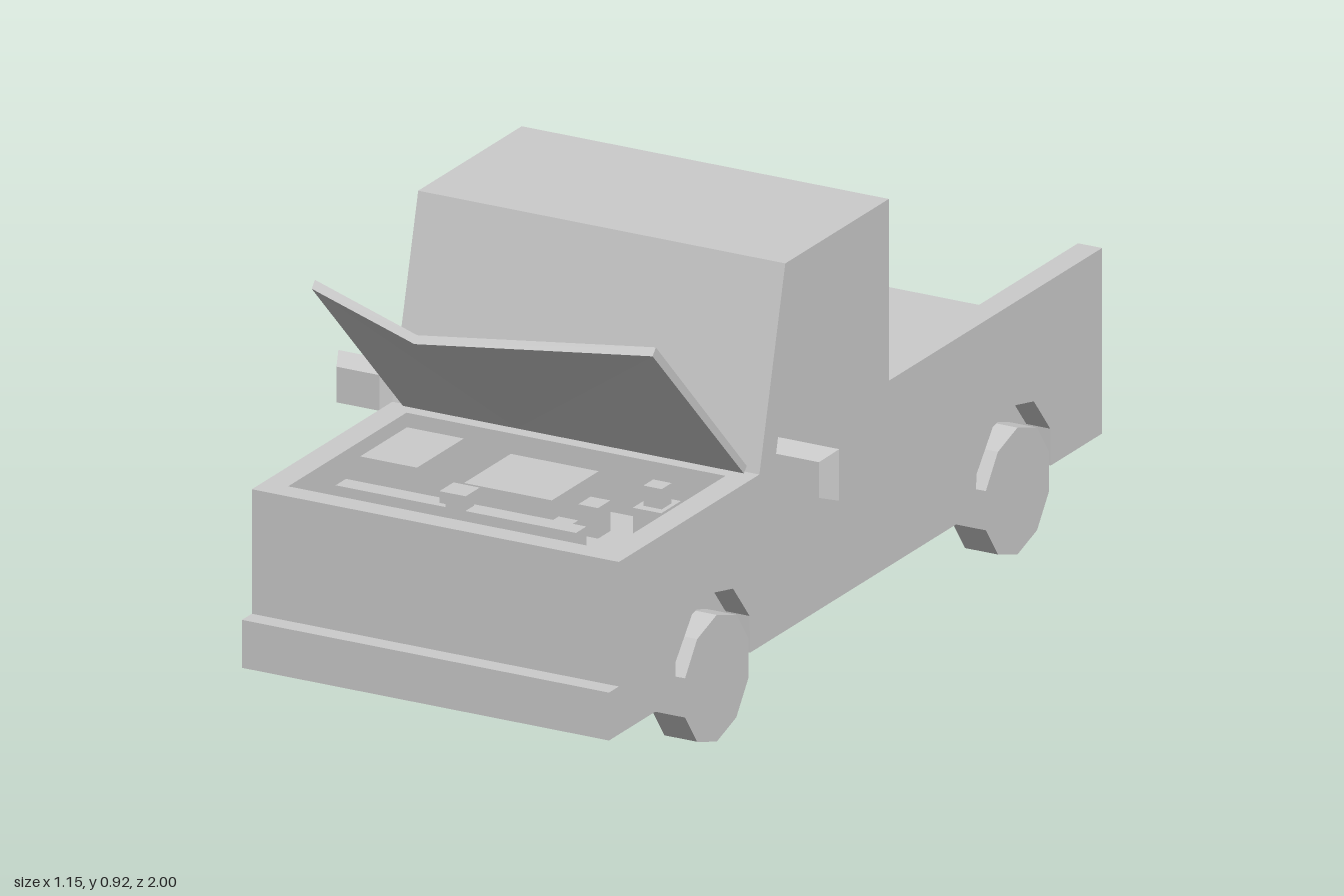
import * as THREE from 'three';

const mat = new THREE.MeshStandardMaterial({ color: 0xcccccc, flatShading: true });

// Extrudes a [z, y] outline along x, from x0 to x1
function slab(points, x0, x1) {
  const shape = new THREE.Shape(points.map(([z, y]) => new THREE.Vector2(-z, y)));
  const geo = new THREE.ExtrudeGeometry(shape, { depth: x1 - x0, bevelEnabled: false });
  return geo.rotateY(Math.PI / 2).translate(x0, 0, 0);
}

// Box given by its limits on each axis
function box(x0, x1, y0, y1, z0, z1) {
  return new THREE.BoxGeometry(x1 - x0, y1 - y0, z1 - z0)
    .translate((x0 + x1) / 2, (y0 + y1) / 2, (z0 + z1) / 2);
}

// Bent plate for the open hood: hinge row and front row, upper and lower skins
function hoodGeometry() {
  const xs = [-0.39, -0.13, 0.39];
  const lower = [
    ...xs.map((x) => [x, 0.505, 0.4]),
    [xs[0], 0.875, 0.77], [xs[1], 0.82, 0.815], [xs[2], 0.875, 0.77],
  ];
  const upper = [
    ...xs.map((x) => [x, 0.517, 0.388]),
    [xs[0], 0.89, 0.757], [xs[1], 0.835, 0.803], [xs[2], 0.89, 0.757],
  ];
  const skin = [[0, 1, 3], [1, 4, 3], [1, 5, 4], [1, 2, 5]];
  const rim = [0, 1, 2, 5, 4, 3];
  const index = [];
  for (const [a, b, c] of skin) index.push(a, b, c, a + 6, c + 6, b + 6);
  rim.forEach((a, i) => {
    const b = rim[(i + 1) % rim.length];
    index.push(a, a + 6, b, b, a + 6, b + 6);
  });
  const geo = new THREE.BufferGeometry();
  geo.setAttribute('position', new THREE.Float32BufferAttribute([...lower, ...upper].flat(), 3));
  geo.setIndex(index);
  const flat = geo.toNonIndexed();
  flat.computeVertexNormals();
  return flat;
}

// Box whose front face is narrower than its back
function mirrorGeometry() {
  const geo = new THREE.BoxGeometry(0.14, 0.11, 0.045);
  const p = geo.attributes.position;
  for (let i = 0; i < p.count; i++) {
    if (p.getZ(i) > 0) p.setXY(i, p.getX(i) * 0.7, p.getY(i) * 0.69);
  }
  geo.computeVertexNormals();
  return geo;
}

export function createModel() {
  const model = new THREE.Group();
  model.name = 'pickupTruck';
  const add = (name, geo, parent = model) => {
    const mesh = new THREE.Mesh(geo, mat);
    mesh.name = name;
    parent.add(mesh);
    return mesh;
  };

  const axles = [0.58, -0.64];
  const inner = 0.365, outer = 0.42;
  const cab = [[0.39, 0.505], [0.285, 0.92], [-0.135, 0.92], [-0.135, 0.533]];
  const nose = [[1, 0.138], [1, 0.24], [0.96, 0.24], [0.96, 0.505]];

  // Middle of the body, with the engine bay and cargo bed sunk into it
  add('bodyCore', slab([
    ...nose, [0.91, 0.505], [0.91, 0.38], [0.43, 0.38], [0.43, 0.505],
    ...cab, [-0.19, 0.533], [-0.19, 0.36], [-1, 0.36], [-1, 0.138],
  ], -inner, inner));

  // Body sides with faceted wheel arches
  const arch = [[-0.152, 0.138], [-0.15, 0.217], [-0.083, 0.297], [0, 0.315],
    [0.083, 0.297], [0.15, 0.217], [0.152, 0.138]];
  const arches = [...axles].reverse().flatMap((c) => arch.map(([z, y]) => [c + z, y]));
  const side = [...nose, ...cab, [-1, 0.533], [-1, 0.138], ...arches];
  add('leftBodySide', slab(side, inner, outer));
  add('rightBodySide', slab(side, -outer, -inner));

  // Wheels and mirrors on both sides
  for (const s of [1, -1]) {
    const label = s > 0 ? 'left' : 'right';
    axles.forEach((z, i) => {
      const wheel = add(label + (i ? 'RearWheel' : 'FrontWheel'),
        new THREE.CylinderGeometry(0.135, 0.135, 0.075, 10).rotateZ(Math.PI / 2));
      // A corner of the wheel points straight down
      wheel.geometry.rotateX(Math.PI / 2);
      wheel.position.set(s * 0.392, 0.135, z);
    });
    add(label + 'Mirror', mirrorGeometry()).position.set(s * 0.503, 0.515, 0.36);
  }

  add('hood', hoodGeometry());

  // Engine bay contents
  const engine = new THREE.Group();
  engine.name = 'engineBay';
  model.add(engine);
  add('radiator', box(-0.275, 0.275, 0.38, 0.513, 0.835, 0.877), engine);
  add('radiatorCapNeck', box(-0.022, 0.022, 0.51, 0.53, 0.843, 0.88), engine);
  add('radiatorCap', box(-0.03, 0.03, 0.525, 0.55, 0.833, 0.89), engine);
  add('battery', box(-0.33, -0.2, 0.38, 0.5, 0.49, 0.68), engine);
  add('engineBlock', box(-0.115, 0.086, 0.38, 0.47, 0.45, 0.64), engine);
  add('reservoir', box(0.26, 0.325, 0.38, 0.48, 0.54, 0.62), engine);
  add('reservoirCap', box(0.273, 0.315, 0.48, 0.523, 0.56, 0.6), engine);
  for (const z of [0.55, 0.68]) {
    add('fillerCap', box(0.11, 0.155, 0.38, 0.445, z - 0.025, z + 0.025), engine);
  }

  return model;
}
